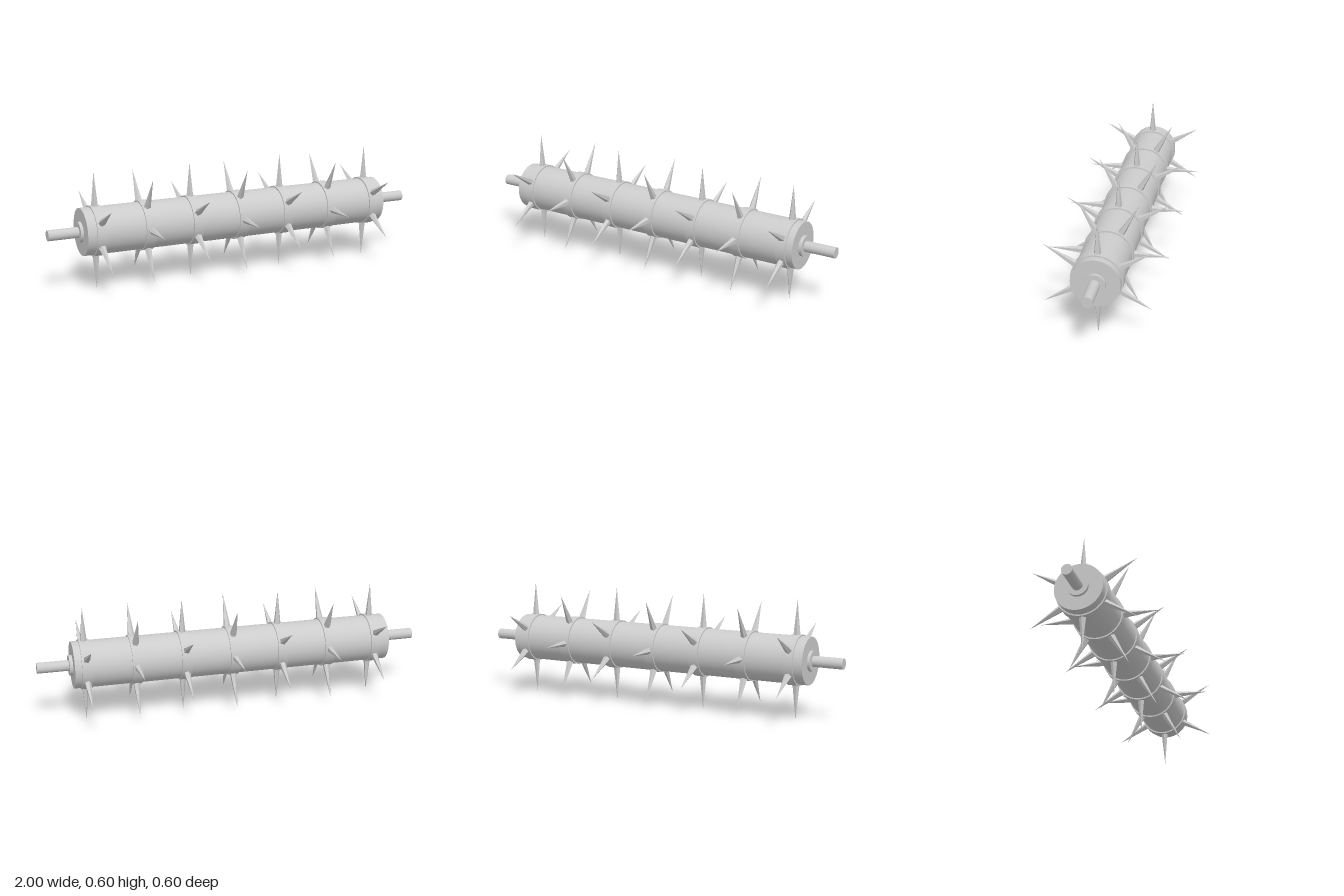
import * as THREE from 'three';

export function createModel() {
  const model = new THREE.Group();
  model.name = 'spikedRoller';
  const smooth = new THREE.MeshStandardMaterial({ color: 0xcccccc });
  const faceted = new THREE.MeshStandardMaterial({ color: 0xcccccc, flatShading: true });

  // Everything sits around one axle running along x
  const roller = new THREE.Group();
  roller.name = 'roller';
  roller.position.set(0, 0.301, -0.003);
  model.add(roller);

  function addCylinder(name, radius, x0, x1, sides = 64) {
    const geo = new THREE.CylinderGeometry(radius, radius, x1 - x0, sides);
    geo.rotateZ(-Math.PI / 2);
    const mesh = new THREE.Mesh(geo, smooth);
    mesh.name = name;
    mesh.position.x = (x0 + x1) / 2;
    roller.add(mesh);
  }

  addCylinder('axle', 0.027, -1, 1, 32);
  addCylinder('hub', 0.0515, -0.845, 0.84, 48);
  addCylinder('drum', 0.119, -0.83, 0.823);

  // Seven raised bands, each with six spikes; alternate bands are turned by 30 degrees
  for (let i = 0; i < 7; i++) {
    const x = 0.0025 + (i - 3) * 0.253;
    addCylinder('band', 0.126, x - 0.026, x + 0.026);

    const ring = new THREE.Group();
    ring.name = 'spikeRing';
    ring.position.x = x;
    for (let k = 0; k < 6; k++) {
      const angle = k * Math.PI / 3 + (i % 2) * Math.PI / 6;
      const base = 0.11;
      const tip = 0.3 + 0.003 * Math.sin(angle) - 0.001 * Math.cos(angle);
      const geo = new THREE.ConeGeometry(0.0195, tip - base, 5);
      geo.rotateY(-Math.PI / 2);
      geo.translate(0, (tip + base) / 2, 0);
      const spike = new THREE.Mesh(geo, faceted);
      spike.name = 'spike';
      spike.rotation.x = angle;
      ring.add(spike);
    }
    roller.add(ring);
  }
  return model;
}
